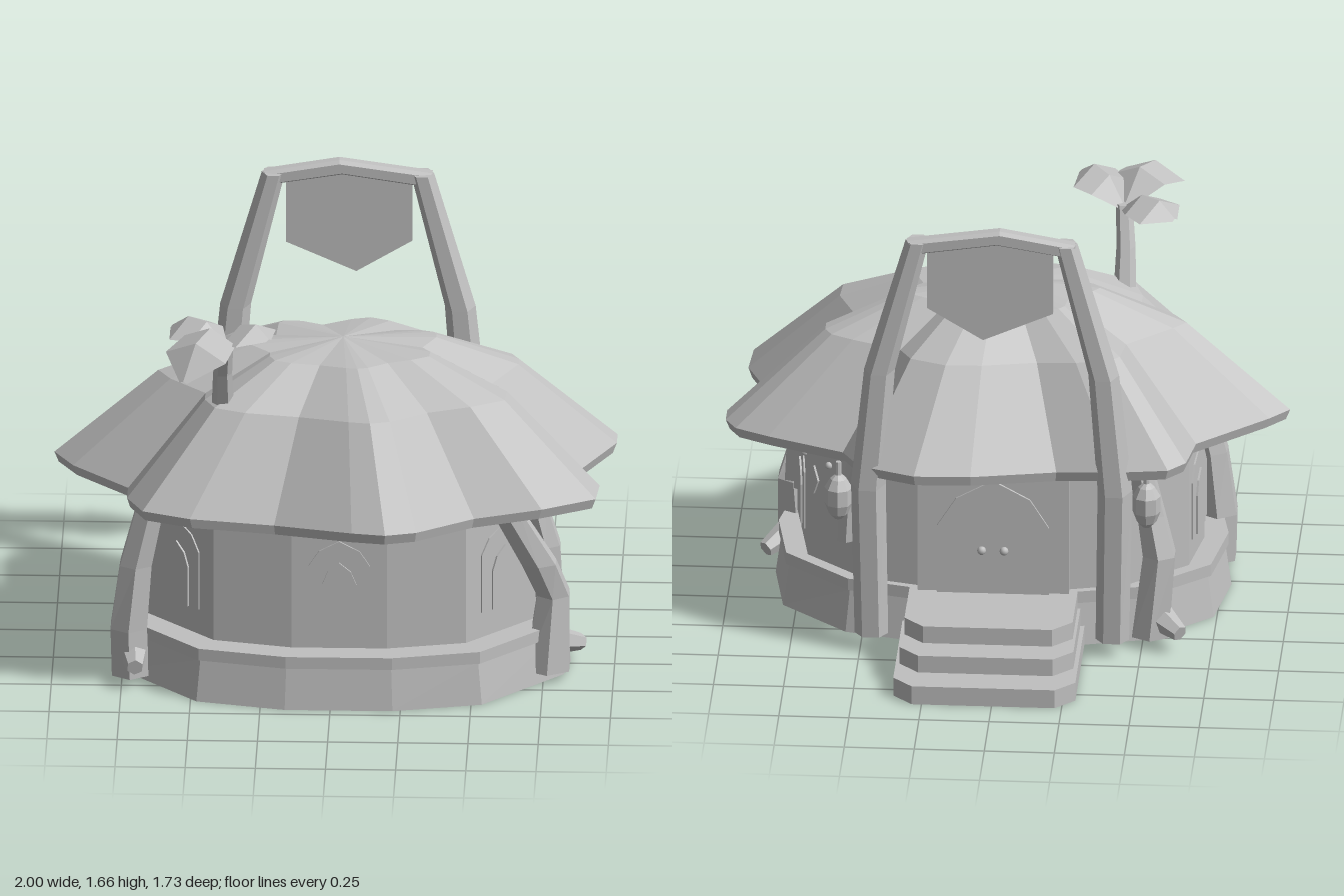
import * as THREE from 'three';

const clay = new THREE.MeshStandardMaterial({ color: 0xc0c0c0, side: THREE.DoubleSide });
clay.name = 'plain grey';
const CX = 0.03;

// Skin between rings of [x, y, z] points (counter-clockwise from above, listed bottom to top)
function loft(rings, bottomCap = true) {
  const v = [];
  const n = rings[0].length;
  const tri = (a, b, c) => v.push(...a, ...b, ...c);
  for (let r = 0; r < rings.length - 1; r++) {
    const a = rings[r], b = rings[r + 1];
    for (let i = 0; i < n; i++) {
      const j = (i + 1) % n;
      tri(a[i], a[j], b[j]);
      tri(a[i], b[j], b[i]);
    }
  }
  const lo = rings[0], hi = rings[rings.length - 1];
  for (let i = 1; i < n - 1; i++) {
    if (bottomCap) tri(lo[0], lo[i + 1], lo[i]);
    tri(hi[0], hi[i], hi[i + 1]);
  }
  const g = new THREE.BufferGeometry();
  g.setAttribute('position', new THREE.Float32BufferAttribute(v, 3));
  g.computeVertexNormals();
  return g;
}

// Ring from a plan outline, scaled about (CX, cz)
const plan = (pts, y, sx = 1, sz = sx, cz = 0) =>
  pts.map(([x, z]) => [CX + (x - CX) * sx, y, cz + (z - cz) * sz]);

// Beam from stations [x, y, z, halfX, halfZ]
const beam = (stations, sides = 6, turn = 0) => loft(stations.map(([x, y, z, hx, hz]) =>
  Array.from({ length: sides }, (_, i) => {
    const a = turn + (i / sides) * Math.PI * 2;
    return [x + Math.cos(a) * hx, y, z - Math.sin(a) * hz];
  })));

const shapeOf = (pts) => new THREE.Shape(pts.map(([x, y]) => new THREE.Vector2(x, y)));
const plate = (pts, depth) =>
  new THREE.ExtrudeGeometry(shapeOf(pts), { depth, bevelEnabled: false });

// Pointed arch standing on y = 0
const arch = (w, h, shoulder) => [[-w, 0], [w, 0], [w, shoulder],
  [w * 0.66, shoulder + (h - shoulder) * 0.6], [0, h],
  [-w * 0.66, shoulder + (h - shoulder) * 0.6], [-w, shoulder]];

export function createModel() {
  const model = new THREE.Group();
  model.name = 'hut';
  const add = (name, geo, parent = model) => {
    const m = new THREE.Mesh(geo, clay);
    m.name = name;
    parent.add(m);
    return m;
  };

  // Walls and hollow plinth share one mirrored plan
  const half = [[0.2, 0.61], [0.48, 0.55], [0.73, 0.3], [0.75, 0.19], [0.71, -0.055], [0.5, -0.24], [0.26, -0.3]];
  const outline = [...half, ...half.map(([x, z]) => [2 * CX - x, z]).reverse()];
  add('wall', loft([plan(outline, 0.2), plan(outline, 0.76)], false));
  add('plinth', loft([plan(outline, 0, 1.13, 1.154, -0.04), plan(outline, 0.155, 1.1, 1.11, -0.12),
    plan(outline, 0.155, 1.115, 1.12, -0.14), plan(outline, 0.2, 1.115, 1.12, -0.14)], false));

  // Petal-edged roof: the valleys between petals sag a little
  const petals = [[1, -0.02], [1, -0.1], [0.96, -0.17], [0.84, -0.22], [0.57, -0.28], [0.5, -0.46],
    [0.3, -0.54], [0.1, -0.51], [-0.2, -0.4], [-0.42, -0.44], [-0.6, -0.43], [-0.66, -0.36],
    [-0.68, -0.12], [-0.93, 0.05], [-1, 0.12], [-0.93, 0.23], [-0.73, 0.37], [-0.73, 0.5],
    [-0.67, 0.66], [-0.5, 0.71], [-0.2, 0.7], [0.08, 0.83], [0.2, 0.86], [0.31, 0.83],
    [0.51, 0.62], [0.75, 0.58], [0.94, 0.5], [0.95, 0.36], [0.86, 0.19]];
  const roofLevels = [[0.7, 0.735], [0.985, 0.702], [1, 0.74], [0.64, 1.065], [0.34, 1.187], [0.002, 1.21]];
  add('roof', loft(roofLevels.map(([s, y]) => plan(petals, y, s, s, 0.15).map(([x, h, z], i) => {
    const reach = Math.hypot(petals[i][0] - CX, (petals[i][1] - 0.15) / 0.7);
    return [x, h - 0.18 * s * Math.max(0, 1 - reach), z];
  }))));

  // Windows: frame plate with a smaller pane
  for (const [x, z, nx, nz] of [[0, 0.616, 0, 1], [0.579, 0.429, 1, 1], [0.706, 0.055, 1, -0.16]]) {
    for (const side of x ? [1, -1] : [1]) {
      const win = new THREE.Group();
      win.name = 'window';
      win.position.set(CX + x * side, 0.3, z);
      win.rotation.y = Math.atan2(nx * side, nz);
      add('windowFrame', plate(arch(0.11, 0.315, 0.22), 0.006), win);
      add('windowPane', plate(arch(0.062, 0.235, 0.15), 0.009), win).position.z = 0.004;
      model.add(win);
    }
  }

  // Back doorway
  const porch = add('doorway', new THREE.BoxGeometry(0.54, 0.54, 0.14));
  porch.position.set(CX, 0.46, -0.26);
  const door = add('door', plate(arch(0.2, 0.44, 0.26), 0.009));
  door.position.set(CX, 0.2, -0.334);
  door.rotation.y = Math.PI;
  for (const s of [-1, 1]) {
    add('doorKnob', new THREE.IcosahedronGeometry(0.016, 1)).position.set(CX + s * 0.04, 0.37, -0.35);
  }

  // Chamfered steps
  for (const [y, z, w] of [[0.07, -0.87, 0.325], [0.135, -0.75, 0.31], [0.2, -0.64, 0.3]]) {
    const c = 0.07;
    const pts = [[CX + w, -0.25], [CX + w, z + c], [CX + w - c, z], [CX - w + c, z], [CX - w, z + c], [CX - w, -0.25]];
    add('step', loft([plan(pts, y - 0.07), plan(pts, y)]));
  }

  // Gate: two leaning posts, ridge beam and hanging board
  for (const s of [-1, 1]) {
    add('gatePost', beam([
      [CX + s * 0.43, 0.06, -0.4, 0.06, 0.05],
      [CX + s * 0.44, 0.65, -0.41, 0.062, 0.08],
      [CX + s * 0.4, 1.1, -0.41, 0.055, 0.07],
      [CX + s * 0.265, 1.61, -0.41, 0.042, 0.05]]));
  }
  const ridge = add('gateBeam', new THREE.ExtrudeGeometry(
    shapeOf([[-0.29, 1.57], [-0.02, 1.615], [0.28, 1.57], [0.29, 1.605], [-0.03, 1.65], [-0.29, 1.605]]),
    { depth: 0.03, bevelThickness: 0.017, bevelSize: 0.01, bevelSegments: 1 }));
  ridge.position.set(CX, 0, -0.43);
  const board = add('hangingBoard', plate([[-0.22, 1.34], [0.03, 1.23], [0.23, 1.35], [0.23, 1.58], [0, 1.605], [-0.22, 1.58]], 0.02));
  board.position.set(CX, 0, -0.425);

  // Crooked corner supports
  const support = (name, stations) => add(name, beam(stations, 6, Math.PI / 6));
  support('frontLeftSupport', [[0.765, 0.04, 0.38, 0.09, 0.085], [0.785, 0.32, 0.36, 0.065, 0.075],
    [0.735, 0.46, 0.415, 0.07, 0.06], [0.61, 0.7, 0.465, 0.06, 0.045]]);
  support('frontLeftBrace', [[0.77, 0.3, 0.335, 0.055, 0.055], [0.76, 0.5, 0.335, 0.055, 0.055], [0.72, 0.66, 0.335, 0.045, 0.05]]);
  support('frontRightSupport', [[-0.72, 0.02, 0.42, 0.075, 0.08], [-0.725, 0.2, 0.42, 0.075, 0.08],
    [-0.7, 0.44, 0.42, 0.065, 0.065], [-0.64, 0.7, 0.42, 0.055, 0.055]]);
  support('backRightSupport', [[-0.53, 0.04, -0.3, 0.075, 0.07], [-0.56, 0.35, -0.29, 0.065, 0.065],
    [-0.53, 0.5, -0.27, 0.055, 0.055], [-0.48, 0.71, -0.25, 0.05, 0.05]]);
  support('backLeftBracket', [[0.56, 0.35, -0.24, 0.035, 0.035], [0.55, 0.52, -0.25, 0.035, 0.035], [0.52, 0.71, -0.28, 0.035, 0.04]]);

  // Stubs at the feet of the supports
  const stub = (from, to) => {
    const a = new THREE.Vector3(...from), b = new THREE.Vector3(...to);
    const d = b.clone().sub(a);
    const g = new THREE.CylinderGeometry(0.03, 0.055, d.length(), 6).toNonIndexed();
    g.computeVertexNormals();
    const m = add('stub', g);
    m.position.copy(a).add(b).multiplyScalar(0.5);
    m.quaternion.setFromUnitVectors(new THREE.Vector3(0, 1, 0), d.normalize());
  };
  stub([0.78, 0.13, 0.34], [0.88, 0.08, 0.24]);
  stub([-0.71, 0.11, 0.42], [-0.7, 0.09, 0.55]);
  stub([-0.56, 0.11, -0.3], [-0.64, 0.08, -0.38]);

  // Lanterns hung beside the gate
  for (const x of [0.58, -0.52]) {
    add('lantern', beam([[0.49, 0.015], [0.51, 0.035], [0.55, 0.05], [0.61, 0.05], [0.645, 0.03], [0.66, 0.012], [0.71, 0.01]]
      .map(([y, r]) => [x, y, -0.365, r, r]), 8));
  }

  // Studs and diamond on the side wall
  for (const [x, z] of [[0.722, -0.02], [0.63, -0.13]]) {
    add('stud', new THREE.IcosahedronGeometry(0.014, 1)).position.set(x, 0.585, z);
  }
  const diamond = add('diamond', plate([[0, -0.055], [0.022, 0], [0, 0.055], [-0.022, 0]], 0.009));
  diamond.position.set(0.682, 0.51, -0.085);
  diamond.rotation.y = Math.atan2(0.66, -0.75);

  // Sprout on the roof, with three arched leaves
  add('sproutTrunk', beam([[-0.39, 1.06, 0.42, 0.04, 0.045], [-0.39, 1.2, 0.475, 0.034, 0.036], [-0.38, 1.34, 0.535, 0.03, 0.03]]));
  const root = new THREE.Vector3(-0.38, 1.33, 0.53);
  const leaf = (tip, width, lift) => {
    const end = new THREE.Vector3(...tip);
    const across = new THREE.Vector3(end.z - root.z, 0, root.x - end.x).normalize();
    const v = [];
    const rows = [[0, 0.15], [0.35, 0.85], [0.7, 1], [1, 0.12]].map(([t, w]) => {
      const mid = root.clone().lerp(end, t);
      mid.y += lift * Math.sin(t * Math.PI);
      return [-1, 0, 1].map((s) => {
        const p = mid.clone().addScaledVector(across, s * w * width);
        p.y -= Math.abs(s) * 0.055 * w;
        return p.toArray();
      });
    });
    for (let r = 0; r < 3; r++) for (let c = 0; c < 2; c++) {
      const a = rows[r][c], b = rows[r][c + 1], d = rows[r + 1][c], e = rows[r + 1][c + 1];
      v.push(...a, ...d, ...b, ...b, ...d, ...e);
    }
    const g = new THREE.BufferGeometry();
    g.setAttribute('position', new THREE.Float32BufferAttribute(v, 3));
    g.computeVertexNormals();
    add('sproutLeaf', g);
  };
  leaf([-0.52, 1.31, 0.82], 0.12, 0.13);
  leaf([-0.57, 1.35, 0.39], 0.11, 0.07);
  leaf([-0.22, 1.41, 0.66], 0.11, 0.08);

  return model;
}
